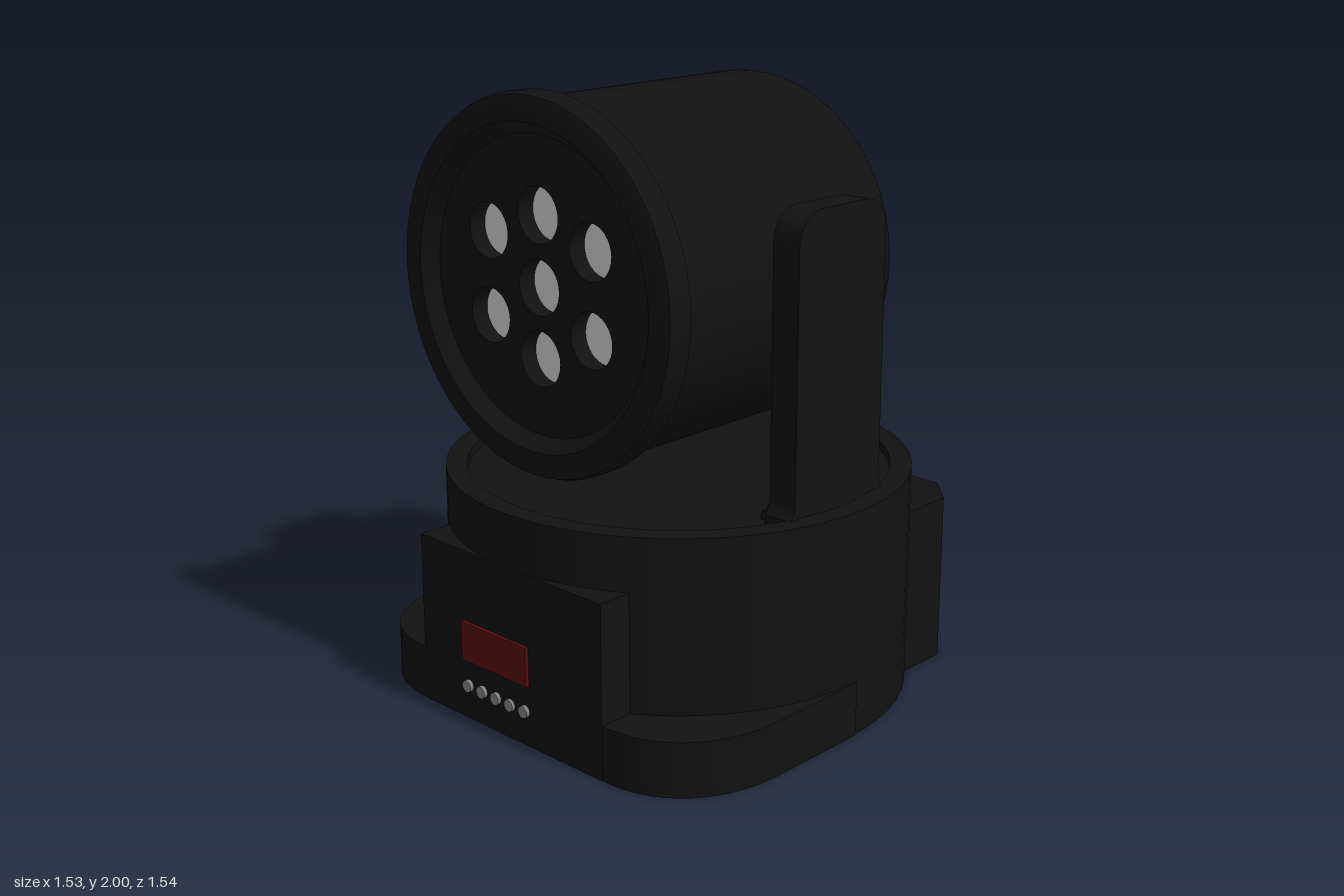
import * as THREE from 'three';
import { toCreasedNormals } from 'three/addons/utils/BufferGeometryUtils.js';

const paint = (color) => new THREE.MeshStandardMaterial({ color });
const black = paint(0x111111);
const red = paint(0x550d0d);
const grey = paint(0x808080);
const glass = paint(0xcccccc);

const HEAD_Y = 1.415;
const pts = (list) => list.map(([x, y]) => new THREE.Vector2(x, y));

function lathe(profile, segments = 64) {
  return toCreasedNormals(new THREE.LatheGeometry(pts(profile), segments), 0.6);
}

function extrude(shape, depth) {
  const g = new THREE.ExtrudeGeometry(shape, { depth, bevelEnabled: false, curveSegments: 16 });
  return toCreasedNormals(g, 0.6);
}

function circleHole(x, y, r) {
  const p = new THREE.Path();
  p.absarc(x, y, r, 0, Math.PI * 2, true);
  return p;
}

export function createModel() {
  const model = new THREE.Group();
  const add = (name, geometry, material = black, parent = model) => {
    const mesh = new THREE.Mesh(geometry, material);
    mesh.name = name;
    parent.add(mesh);
    return mesh;
  };
  const box = (name, w, h, d, x, y, z, material) =>
    add(name, new THREE.BoxGeometry(w, h, d).translate(x, y, z), material);

  // Round base drum with a shallow recessed top
  add('baseDrum', lathe([[0, 0], [0.76, 0], [0.76, 0.745], [0.69, 0.745], [0.69, 0.715], [0, 0.715]]));

  // Low plinth with rounded front corners (shape y is -z)
  const foot = new THREE.Shape();
  foot.moveTo(-0.765, 0);
  foot.lineTo(-0.765, -0.36);
  foot.bezierCurveTo(-0.765, -0.6, -0.63, -0.755, -0.42, -0.755);
  foot.lineTo(0.42, -0.755);
  foot.bezierCurveTo(0.63, -0.755, 0.765, -0.6, 0.765, -0.36);
  foot.lineTo(0.765, 0);
  add('plinth', extrude(foot, 0.18).rotateX(-Math.PI / 2));

  // Control block, display and buttons
  box('controlBlock', 0.82, 0.57, 0.4, 0, 0.285, 0.557);
  box('display', 0.3, 0.13, 0.03, -0.06, 0.27, 0.755, red);
  for (let i = 0; i < 5; i++) {
    const button = new THREE.CylinderGeometry(0.02, 0.02, 0.03, 16).rotateX(Math.PI / 2);
    add('button', button.translate(-0.193 + i * 0.066, 0.115, 0.755), grey);
  }

  // Connector box at the back: core, chamfered corners, panel with sockets
  box('connectorBox', 1.18, 0.57, 0.3, 0, 0.285, -0.515);
  const panel = new THREE.Shape(pts([[-0.485, 0], [0.485, 0], [0.485, 0.57], [-0.485, 0.57]]));
  panel.holes.push(
    new THREE.Path(pts([[0.14, 0.18], [0.14, 0.48], [0.38, 0.48], [0.38, 0.18]])),
    circleHole(-0.05, 0.3, 0.1),
    circleHole(-0.32, 0.3, 0.1),
  );
  add('connectorPanel', extrude(panel, 0.105).translate(0, 0, -0.77));
  for (const s of [-1, 1]) {
    const corner = new THREE.Shape(pts([[s * 0.485, 0.665], [s * 0.59, 0.665], [s * 0.485, 0.77]]));
    add('connectorCorner', extrude(corner, 0.57).rotateX(-Math.PI / 2));
  }

  // Yoke arms: rounded top, flared foot, fillet on the inside
  const arm = new THREE.Shape();
  arm.moveTo(-0.22, 0.7);
  arm.lineTo(0.22, 0.7);
  arm.lineTo(0.22, 0.745);
  arm.quadraticCurveTo(0.2, 0.76, 0.2, 0.8);
  arm.lineTo(0.2, 1.56);
  arm.quadraticCurveTo(0.2, 1.675, 0.09, 1.675);
  arm.lineTo(-0.09, 1.675);
  arm.quadraticCurveTo(-0.2, 1.675, -0.2, 1.56);
  arm.lineTo(-0.2, 0.8);
  arm.quadraticCurveTo(-0.2, 0.76, -0.22, 0.745);
  const fillet = new THREE.Shape();
  fillet.moveTo(0.58, 0.7);
  fillet.lineTo(0.58, 0.81);
  fillet.lineTo(0.57, 0.81);
  fillet.quadraticCurveTo(0.57, 0.75, 0.535, 0.74);
  fillet.lineTo(0.535, 0.7);
  for (const s of [-1, 1]) {
    const yoke = new THREE.Group();
    yoke.name = s > 0 ? 'leftArm' : 'rightArm';
    add('armPlate', extrude(arm, 0.1).rotateY(Math.PI / 2).translate(0.57, 0, 0), black, yoke);
    add('armFillet', extrude(fillet, 0.4).translate(0, 0, -0.2), black, yoke);
    if (s < 0) yoke.rotation.y = Math.PI;
    model.add(yoke);
  }

  // Lamp head, turned around the z axis
  const head = new THREE.Group();
  head.name = 'lampHead';
  head.position.y = HEAD_Y;
  model.add(head);
  const shell = [[0, -0.49], [0.285, -0.49], [0.305, -0.48], [0.31, -0.45]];
  for (let i = 0; i <= 8; i++) {
    const a = (i / 8) * Math.PI / 2;
    shell.push([0.437 + 0.12 * Math.sin(a), -0.33 - 0.12 * Math.cos(a)]);
  }
  shell.push([0.557, 0.56], [0.585, 0.56], [0.585, 0.615], [0.577, 0.637], [0.555, 0.645],
    [0.5, 0.645], [0.46, 0.6], [0.46, 0.53], [0, 0.53]);
  add('headShell', lathe(shell).rotateX(Math.PI / 2), black, head);

  // Face plate with a deep opening for each lens
  const lenses = [[0, 0], [0, 0.22], [0, -0.22]];
  for (const s of [-1, 1]) lenses.push([s * 0.222, 0.142], [s * 0.222, -0.122]);
  const face = new THREE.Shape();
  face.absarc(0, 0, 0.465, 0, Math.PI * 2, false);
  for (const [x, y] of lenses) {
    face.holes.push(circleHole(x, y, 0.087));
    add('lens', new THREE.CircleGeometry(0.087, 32).translate(x, y, 0.54), glass, head);
  }
  add('facePlate', extrude(face, 0.065).translate(0, 0, 0.535), black, head);

  return model;
}
